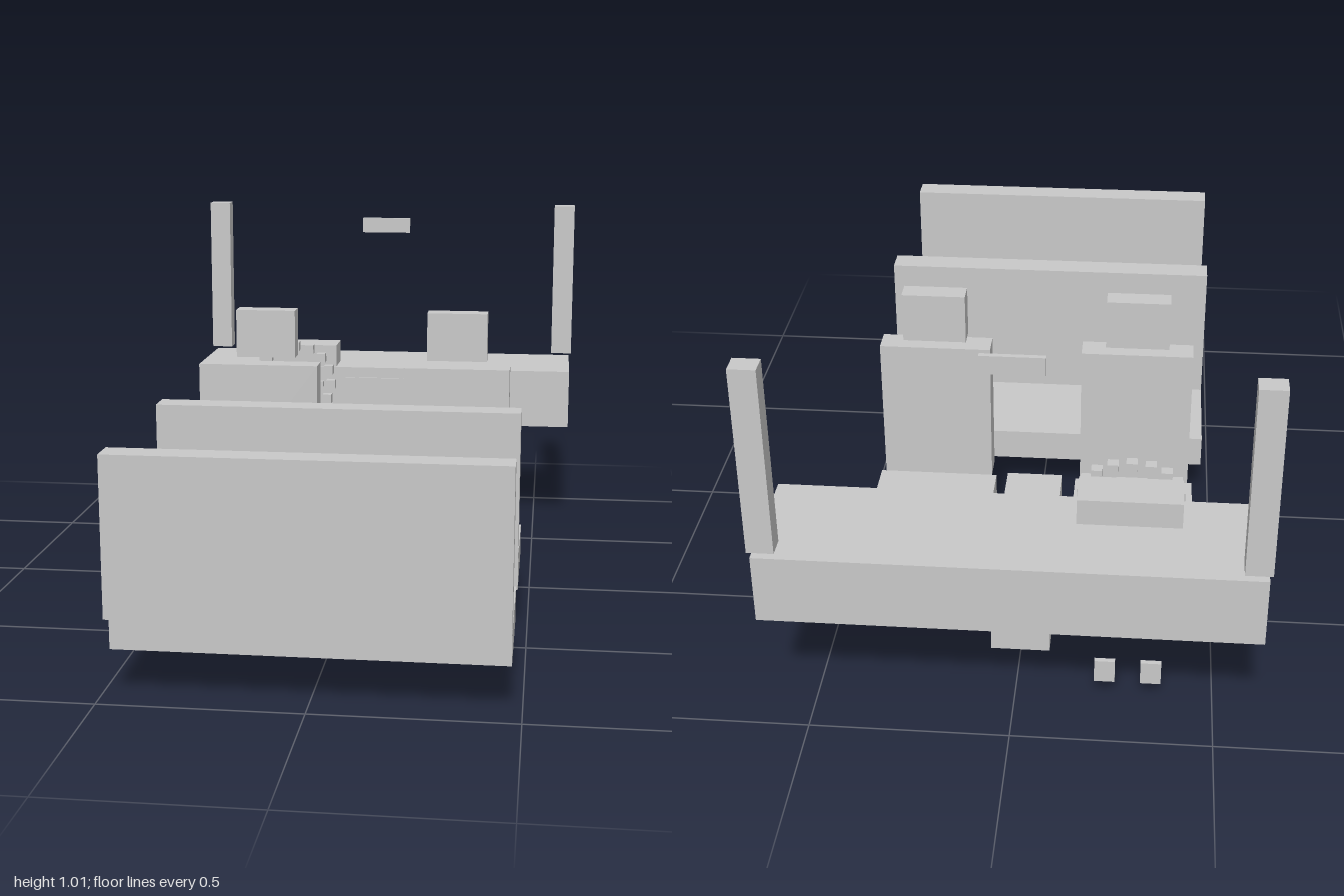
import * as THREE from 'three';

const grey = new THREE.MeshStandardMaterial({ color: 0xc8c8c8 });
grey.name = 'lightGrey';

// Adds a box given by its extents along each axis.
function block(parent, name, [x0, x1], [y0, y1], [z0, z1]) {
  const mesh = new THREE.Mesh(new THREE.BoxGeometry(x1 - x0, y1 - y0, z1 - z0), grey);
  mesh.position.set((x0 + x1) / 2, (y0 + y1) / 2, (z0 + z1) / 2);
  mesh.name = name;
  parent.add(mesh);
}

function group(parent, name) {
  const g = new THREE.Group();
  g.name = name;
  parent.add(g);
  return g;
}

function cube(parent, name, x, y, z, size) {
  const h = size / 2;
  block(parent, name, [x - h, x + h], [y - h, y + h], [z - h, z + h]);
}

// Full-width bench, with z as the rear face of its backrest
function addBench(parent, name, z) {
  const g = group(parent, name);
  block(g, 'benchCushion', [-0.474, 0.474], [0.12, 0.21], [z - 0.362, z - 0.048]);
  block(g, 'benchBackrest', [-0.474, 0.474], [0.21, 0.605], [z - 0.072, z]);
}

// Single seat on a pedestal
function addSeat(parent, name, x) {
  const g = group(parent, name);
  block(g, 'seatCushion', [x - 0.165, x + 0.165], [0.12, 0.21], [-0.487, -0.158]);
  block(g, 'seatBackrest', [x - 0.152, x + 0.152], [0.21, 0.617], [-0.158, -0.088]);
  block(g, 'headrest', [x - 0.086, x + 0.086], [0.638, 0.776], [-0.157, -0.1]);
  block(g, 'seatPedestal', [x - 0.026, x + 0.026], [0, 0.12], [-0.344, -0.294]);
}

// Steering wheel: a tilted ring of cubes around a hub
function addSteeringWheel(parent) {
  const g = group(parent, 'steeringWheel');
  const cx = -0.278, cy = 0.465, cz = -0.6, tilt = 0.405, count = 16;
  const place = (name, radius, angle, size) => {
    const up = Math.sin(angle) * radius;
    cube(g, name, cx + Math.cos(angle) * radius,
      cy + up * Math.cos(tilt), cz - up * Math.sin(tilt), size);
  };
  for (let i = 0; i < count; i++) place('rimCube', 0.123, (i / count) * Math.PI * 2, 0.028);
  for (const angle of [0, Math.PI, -Math.PI / 2]) {
    for (const radius of [0.064, 0.09]) place('spokeCube', radius, angle, 0.017);
  }
  block(g, 'hub', [cx - 0.039, cx + 0.039], [cy - 0.035, cy + 0.035], [-0.62, -0.582]);
  block(g, 'steeringColumn', [cx - 0.021, cx + 0.021], [0.376, 0.424], [-0.688, -0.61]);
}

export function createModel() {
  const model = new THREE.Group();
  model.name = 'vehicleInterior';

  addBench(model, 'rearBench', 1);
  addBench(model, 'middleBench', 0.442);
  addSeat(model, 'rightSeat', -0.278);
  addSeat(model, 'leftSeat', 0.278);
  block(model, 'centreConsole', [-0.077, 0.077], [0.013, 0.242], [-0.684, -0.193]);

  // Dashboard with instrument hood and centre screen
  const dash = group(model, 'dashboard');
  block(dash, 'dashBody', [-0.606, 0.606], [0.323, 0.505], [-1, -0.686]);
  block(dash, 'instrumentHood', [-0.406, -0.15], [0.505, 0.574], [-0.803, -0.697]);
  block(dash, 'centreScreen', [-0.119, 0.119], [0.37, 0.472], [-0.686, -0.679]);
  addSteeringWheel(model);

  // Windscreen pillars and mirror
  for (const s of [-1, 1]) {
    const xs = [s * 0.613, s * 0.547].sort((a, b) => a - b);
    block(model, s < 0 ? 'rightPillar' : 'leftPillar', xs, [0.52, 1.013], [-1, -0.948]);
  }
  block(model, 'rearviewMirror', [-0.077, 0.077], [0.932, 0.979], [-0.837, -0.824]);

  // Pedals
  for (const x of [-0.343, -0.227]) {
    block(model, 'pedal', [x - 0.026, x + 0.026], [0.049, 0.113], [-0.837, -0.824]);
  }
  return model;
}
